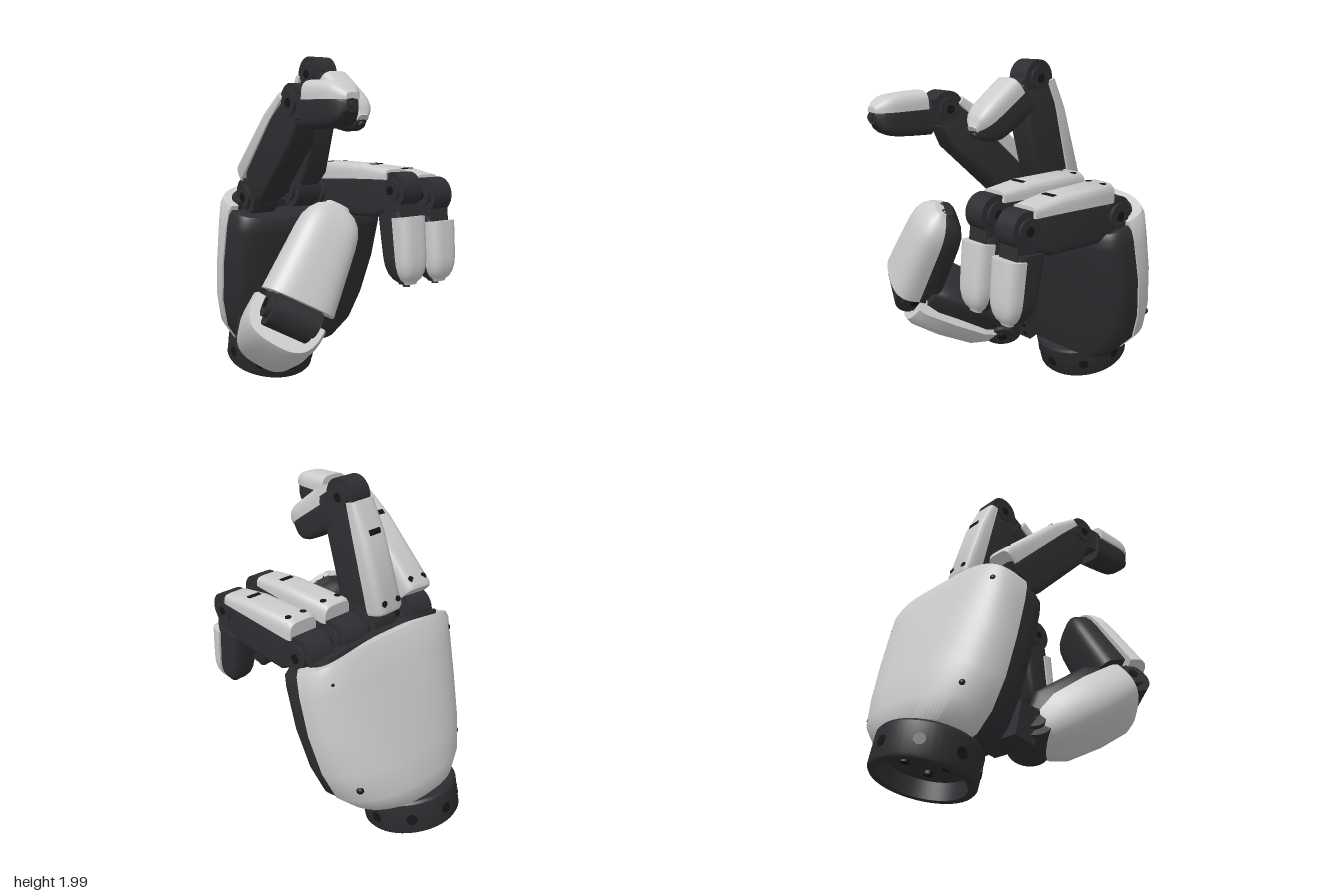
import * as THREE from 'three';
import { toCreasedNormals } from 'three/addons/utils/BufferGeometryUtils.js';

const light = new THREE.MeshStandardMaterial({ color: 0xcccccc });
const dark = new THREE.MeshStandardMaterial({ color: 0x2e2e32 });
const black = new THREE.MeshStandardMaterial({ color: 0x151517 });
const V = (x, y, z) => new THREE.Vector3(x, y, z);

function add(parent, name, geometry, material, x = 0, y = 0, z = 0) {
  const mesh = new THREE.Mesh(geometry, material);
  mesh.name = name;
  mesh.position.set(x, y, z);
  parent.add(mesh);
  return mesh;
}

// Loft through superellipse sections [y, x0, x1, z0, z1, own exponent].
// side 0: full ring between z0 and z1; side 1 / -1: half ring from a flat at z0 out to z1.
// droop lowers the outer edges of the upper sections.
function loft(sections, side = 0, p = 4, n = 32, droop = 0) {
  const pos = [], idx = [];
  const start = side < 0 ? Math.PI : 0, span = side ? Math.PI : 2 * Math.PI;
  const m = side ? n + 1 : n;
  const rows = sections.length, top = sections[rows - 1][0];
  for (const [y, x0, x1, z0, z1, q = p] of sections) {
    const pw = (v) => Math.sign(v) * Math.pow(Math.abs(v), 2 / q);
    const zc = side ? z0 : (z0 + z1) / 2;
    const h = side ? Math.abs(z1 - z0) : (z1 - z0) / 2;
    for (let j = 0; j < m; j++) {
      const a = start + (span * j) / n, c = pw(Math.cos(a));
      pos.push((x0 + x1) / 2 + ((x1 - x0) / 2) * c, y - droop * c ** 4 * (y / top) ** 4, zc + h * pw(Math.sin(a)));
    }
  }
  for (let i = 0; i < rows - 1; i++) {
    for (let j = 0; j < m; j++) {
      const a = i * m + j, b = i * m + ((j + 1) % m);
      idx.push(a, a + m, b, b, a + m, b + m);
    }
  }
  // end caps
  for (const i of [0, rows - 1]) {
    const [y, x0, x1, z0, z1] = sections[i];
    const c = pos.length / 3;
    pos.push((x0 + x1) / 2, y, (z0 + z1) / 2);
    for (let j = 0; j < m; j++) {
      const a = i * m + j, b = i * m + ((j + 1) % m);
      if (i) idx.push(c, b, a); else idx.push(c, a, b);
    }
  }
  const g = new THREE.BufferGeometry();
  g.setAttribute('position', new THREE.Float32BufferAttribute(pos, 3));
  g.setIndex(idx);
  return toCreasedNormals(g, 0.7);
}
const sec = (y, hw, z0, z1) => [y, -hw, hw, z0, z1];

// Group whose y runs from a to b and whose z faces the back of the digit
function limb(parent, name, a, b, back) {
  const g = new THREE.Group();
  const y = b.clone().sub(a);
  const length = y.length();
  y.normalize();
  const z = back.clone().addScaledVector(y, -back.dot(y)).normalize();
  const x = y.clone().cross(z);
  g.quaternion.setFromRotationMatrix(new THREE.Matrix4().makeBasis(x, y, z));
  g.position.copy(a);
  g.name = name;
  parent.add(g);
  return { g, length };
}

// Hinge: a drum along x with smaller discs and pins on both sides
function hinge(parent, name, r, w) {
  [[r, w, dark], [r * 0.65, w * 1.22, dark], [r * 0.25, w * 1.27, black]].forEach(([rad, len, mat], i) =>
    add(parent, name + ['Drum', 'Disc', 'Pin'][i], new THREE.CylinderGeometry(rad, rad, len, 28).rotateZ(Math.PI / 2), mat));
}

// Sections that round off bluntly towards the far end
function tipSections(start, length, hw0, hw1, z0, z1, keepZ0) {
  return [start / length, 0.5, 0.7, 0.8, 0.88, 0.94, 0.98, 1].map((u) => {
    const e = Math.min(1, Math.max(0, (u - 0.7) / 0.3));
    const f = Math.max(0.4, (1 - e ** 2.5) ** 0.45);
    const hw = (hw0 + (hw1 - hw0) * u) * f, slim = f * (1 - 0.2 * u * u);
    return sec(u * length, hw, keepZ0 ? z0 : z0 * slim, keepZ0 ? z0 + (z1 - z0) * slim : z1 * slim);
  });
}

function finger(parent, name, K, J, T) {
  const f = new THREE.Group();
  f.name = name;
  parent.add(f);
  const backOf = (a, b) => b.clone().sub(a).cross(V(1, 0, 0));

  // lower segment with its cover, screws and slot
  const { g: low, length: L } = limb(f, 'lowerSegment', K, J, backOf(K, J));
  hinge(low, 'knuckle', 0.11, 0.16);
  add(low, 'lowerBody', loft([
    sec(0.04, 0.07, -0.09, 0.07), sec(0.14, 0.085, -0.14, 0.1),
    sec(L - 0.16, 0.085, -0.15, 0.1), sec(L - 0.03, 0.065, -0.105, 0.07)], 0, 7), dark);
  add(low, 'lowerCover', loft([
    sec(0.05, 0.088, 0.08, 0.175), sec(0.07, 0.096, 0.08, 0.188),
    sec(L - 0.22, 0.092, 0.07, 0.155), sec(L - 0.03, 0.083, 0.06, 0.115)], 1, 4.5), light);
  for (const s of [-1, 1])
    add(low, 'coverScrew', new THREE.CylinderGeometry(0.018, 0.018, 0.02, 14).rotateX(Math.PI / 2), black, s * 0.05, 0.11, 0.175);
  add(low, 'coverSlot', new THREE.BoxGeometry(0.08, 0.03, 0.02), black, 0, L - 0.2, 0.144);

  // fingertip
  const { g: tip, length: M } = limb(f, 'fingertip', J, T, backOf(J, T));
  hinge(tip, 'middleJoint', 0.1, 0.13);
  add(tip, 'tipLink', new THREE.BoxGeometry(0.13, 0.16, 0.14), dark, 0, 0.1, -0.01);
  add(tip, 'tipBody', loft(tipSections(0.12, M, 0.088, 0.08, -0.135, 0.06), 0, 4), dark);
  add(tip, 'tipCover', loft(tipSections(0.15, M, 0.097, 0.09, 0.015, 0.115, true), 1, 3.4), light);
  add(tip, 'tipNub', new THREE.CylinderGeometry(0.02, 0.02, 0.03, 12), dark, 0, M, -0.01);
}

function palm(parent) {
  const g = new THREE.Group();
  g.name = 'palm';
  g.position.set(0, 0.074, -0.528);
  g.rotation.x = 0.244;
  parent.add(g);

  // hollow wrist ring with bolt sockets
  const ring = [[0, 0.1], [0.23, 0.1], [0.235, 0], [0.272, 0], [0.282, 0.015], [0.285, 0.185], [0.275, 0.2], [0, 0.2]];
  add(g, 'wrist', toCreasedNormals(new THREE.LatheGeometry(ring.map(([r, y]) => new THREE.Vector2(r, y)), 48), 0.6), dark, 0.035);
  for (let i = 0; i < 8; i++) {
    const a = (i * Math.PI) / 4;
    const socket = new THREE.CylinderGeometry(0.032, 0.032, 0.03, 16).rotateX(Math.PI / 2).rotateY(a);
    add(g, 'wristSocket', socket, black, 0.035 + 0.27 * Math.sin(a), 0.09, 0.27 * Math.cos(a));
    if (i % 2) add(g, 'wristBolt', new THREE.CylinderGeometry(0.025, 0.025, 0.03, 14), black, 0.035 + 0.11 * Math.sin(a), 0.095, 0.11 * Math.cos(a));
  }

  // dark inner palm, pale back shell and knuckle deck
  add(g, 'innerPalm', loft([
    [0.18, -0.17, 0.34, 0.04, 0.2], [0.21, -0.26, 0.42, 0.04, 0.24], [0.32, -0.34, 0.53, 0.04, 0.25],
    [0.5, -0.39, 0.595, 0.04, 0.25], [0.75, -0.415, 0.635, 0.04, 0.25], [1.0, -0.42, 0.64, 0.04, 0.25],
    [1.06, -0.415, 0.635, 0.04, 0.245], [1.09, -0.4, 0.615, 0.04, 0.22]], 1, 4.5, 40), dark);
  add(g, 'backShell', loft([
    [0.18, -0.18, 0.35, 0.045, -0.2], [0.21, -0.27, 0.43, 0.045, -0.235], [0.32, -0.35, 0.54, 0.045, -0.262],
    [0.5, -0.4, 0.605, 0.045, -0.258], [0.75, -0.423, 0.643, 0.045, -0.24, 2.5], [1.0, -0.428, 0.647, 0.045, -0.216, 3],
    [1.13, -0.42, 0.637, 0.045, -0.196, 3.8], [1.175, -0.405, 0.62, 0.045, -0.18, 4.2]], -1, 2.3, 48, 0.06), light);
  add(g, 'knuckleDeck', loft([[1.06, -0.36, 0.575, 0.046, -0.125], [1.178, -0.36, 0.575, 0.046, -0.125]], -1, 4.5, 32, 0.04), dark);
  for (const s of [-1, 1])
    for (const [y, x, z] of [[0.4, 0.398, -0.127], [1.04, 0.45, -0.13]])
      add(g, 'shellScrew', new THREE.SphereGeometry(0.022, 14, 10), black, 0.105 + s * x, y, z);

  // thumb mount on the palm
  add(g, 'thumbMount', new THREE.BoxGeometry(0.3, 0.2, 0.14), dark, -0.22, 0.36, 0.27);
  for (const y of [0.3, 0.36, 0.42])
    add(g, 'mountScrew', new THREE.CylinderGeometry(0.016, 0.016, 0.02, 12).rotateX(Math.PI / 2), black, -0.1, y, 0.338);
}

function thumb(parent) {
  const t = new THREE.Group();
  t.name = 'thumb';
  parent.add(t);

  // lower thumb: boxy body in a wide, deep cover
  const { g: low, length: L } = limb(t, 'lowerThumb', V(-0.26, 0.34, -0.06), V(-0.455, 0.645, 0.46), V(-0.66, -0.65, 0.22));
  hinge(low, 'thumbBase', 0.115, 0.22);
  add(low, 'lowerThumbBody', loft([
    sec(0.05, 0.1, -0.1, 0.08), sec(0.14, 0.15, -0.17, 0.08),
    sec(L - 0.14, 0.165, -0.19, 0.08), sec(L - 0.06, 0.14, -0.16, 0.06)], 0, 5), dark);
  add(low, 'lowerThumbCover', loft([
    sec(0.02, 0.11, 0.0, 0.11), sec(0.06, 0.15, -0.01, 0.155), sec(0.16, 0.195, -0.03, 0.185),
    sec(0.38, 0.215, -0.04, 0.195), sec(L - 0.06, 0.215, -0.04, 0.18), sec(L - 0.01, 0.2, -0.04, 0.16)], 1, 2.9), light);

  // thumb tip
  const { g: tip, length: M } = limb(t, 'thumbTip', V(-0.46, 0.67, 0.5), V(-0.145, 1.2, 0.46), V(-0.3, 0.2, 0.92));
  hinge(tip, 'thumbJoint', 0.11, 0.24);
  add(tip, 'thumbTipLink', new THREE.BoxGeometry(0.2, 0.18, 0.16), dark, 0, 0.08, 0);
  add(tip, 'thumbTipBody', loft(tipSections(0.1, M, 0.175, 0.14, -0.16, 0.06), 0, 3.5), dark);
  add(tip, 'thumbTipCover', loft(tipSections(0.06, M, 0.205, 0.155, 0.0, 0.15, true), 1, 3), light);
}

export function createModel() {
  const hand = new THREE.Group();
  hand.name = 'roboticHand';
  palm(hand);
  thumb(hand);
  finger(hand, 'indexFinger', V(-0.24, 1.2, -0.2), V(-0.295, 1.73, 0.34), V(-0.31, 1.725, 0.79));
  finger(hand, 'middleFinger', V(0.05, 1.23, -0.18), V(0.06, 1.9, -0.01), V(0.06, 1.63, 0.4));
  finger(hand, 'ringFinger', V(0.27, 1.2, -0.18), V(0.27, 1.26, 0.49), V(0.27, 0.74, 0.56));
  finger(hand, 'littleFinger', V(0.5, 1.18, -0.17), V(0.5, 1.22, 0.49), V(0.5, 0.73, 0.55));
  return hand;
}
